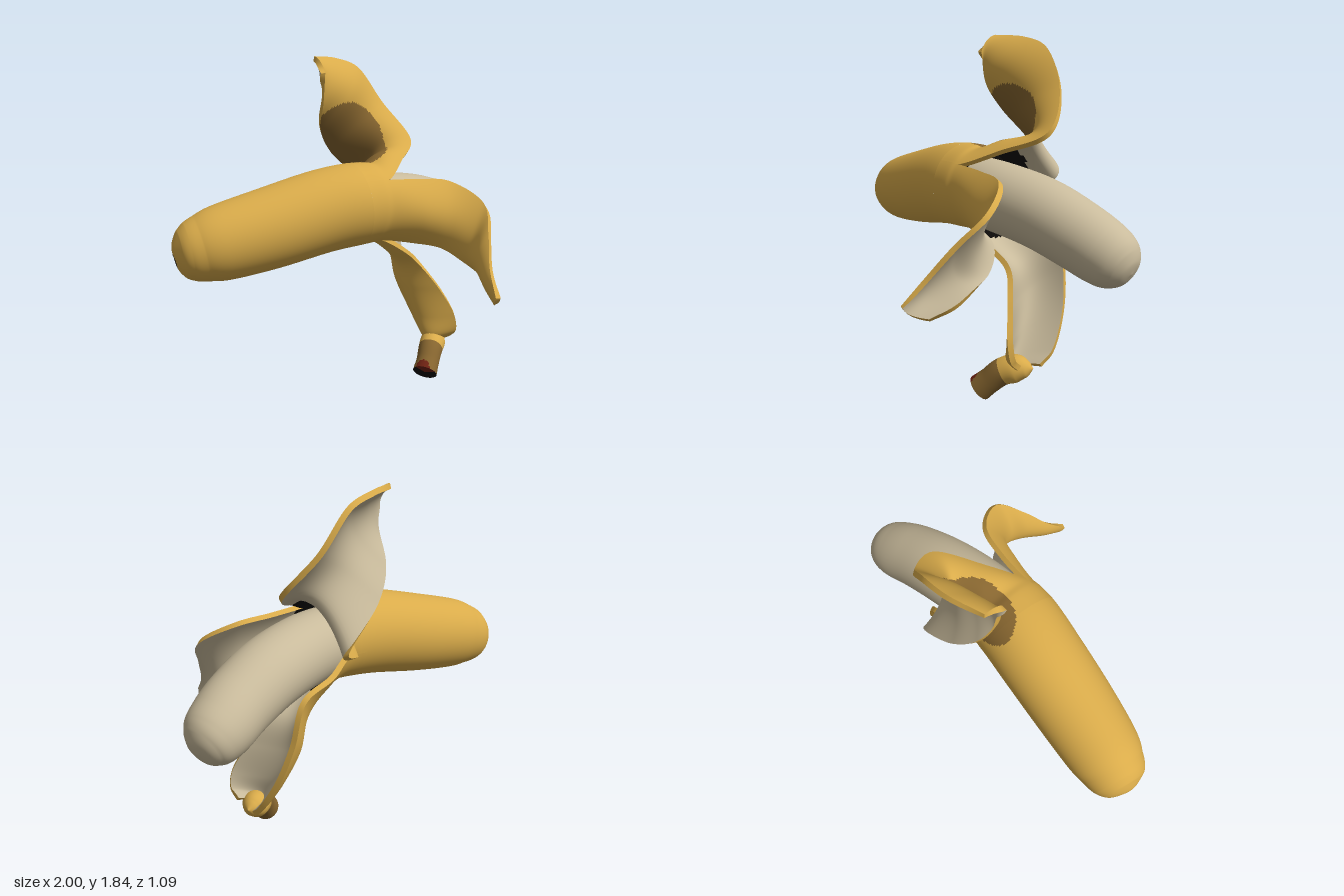
import * as THREE from 'three';

const V = (a) => new THREE.Vector3(a[0], a[1], a[2]);
const paint = (name, color, side = THREE.FrontSide) => {
  const m = new THREE.MeshStandardMaterial({ color, side });
  m.name = name;
  return m;
};

// Skin over rows of points; pick(centre) returns a material index for each cell
function grid(rows, closed = false, pick = () => 0, flip = false) {
  const n = rows[0].length, cols = closed ? n : n - 1;
  const buckets = [[], [], []], centre = new THREE.Vector3();
  for (let i = 0; i < rows.length - 1; i++) {
    for (let j = 0; j < cols; j++) {
      const k = (j + 1) % n;
      const a = i * n + j, b = i * n + k, c = a + n, d = b + n;
      centre.copy(rows[i][j]).add(rows[i][k]).add(rows[i + 1][j]).add(rows[i + 1][k]).multiplyScalar(0.25);
      buckets[pick(centre)].push(...(flip ? [a, c, b, b, c, d] : [a, b, c, b, d, c]));
    }
  }
  const geo = new THREE.BufferGeometry().setFromPoints(rows.flat());
  geo.setIndex(buckets.flat());
  let start = 0;
  buckets.forEach((b, i) => {
    if (b.length) geo.addGroup(start, b.length, i);
    start += b.length;
  });
  geo.computeVertexNormals();
  return geo;
}

// Spine with a changing radius; stations are [x, y, z, radius]
function makeSpine(stations) {
  const path = new THREE.CatmullRomCurve3(stations.map(V), false, 'catmullrom');
  const size = new THREE.CatmullRomCurve3(stations.map((s) => V([s[3], 0, 0])), false, 'catmullrom');
  // Angle 0 is up, 90 degrees is the front
  const point = (t, degrees) => {
    const a = THREE.MathUtils.degToRad(degrees);
    const T = path.getTangent(t), U = new THREE.Vector3(0, 1, 0);
    U.addScaledVector(T, -U.dot(T)).normalize();
    const S = new THREE.Vector3().crossVectors(T, U);
    const r = Math.max(0, size.getPoint(t).x);
    return path.getPoint(t).addScaledVector(U, r * Math.cos(a)).addScaledVector(S, r * Math.sin(a));
  };
  const ring = (t, n) => Array.from({ length: n }, (_, j) => point(t, (j * 360) / n));
  const sweep = (t1, steps, n) => Array.from({ length: steps + 1 }, (_, i) => ring((t1 * i) / steps, n));
  return { path, point, ring, sweep };
}

export function createModel() {
  const group = new THREE.Group();
  const peel = paint('peel yellow', 0xd9ab4a);
  const rimPaint = paint('peel rim yellow', 0xd9ab4a, THREE.DoubleSide);
  const cream = paint('cream', 0xc9bb9c);
  const brown = paint('brown', 0x86652f);
  const black = paint('black', 0x0c0a08, THREE.DoubleSide);
  const red = paint('dark red', 0x6e2212, THREE.DoubleSide);

  const add = (name, geo, mat, parent = group) => {
    const mesh = new THREE.Mesh(geo, mat);
    mesh.name = name;
    parent.add(mesh);
  };

  // Brown bruise shared by the body and the upper strip, dark spot on the blossom end
  const bruise = V([0.07, 1.36, -0.34]), spot = V([-0.98, 0.83, -0.175]);
  const pick = (p) => (p.distanceTo(bruise) < 0.228 ? 1 : p.distanceTo(spot) < 0.052 ? 2 : 0);
  const skin = [peel, brown, black];

  // Unpeeled body
  const stations = [
    [-0.998, 0.862, -0.15, 0], [-0.988, 0.864, -0.149, 0.064], [-0.96, 0.867, -0.147, 0.117],
    [-0.919, 0.872, -0.143, 0.15], [-0.86, 0.882, -0.138, 0.171], [-0.75, 0.905, -0.13, 0.197],
    [-0.5, 0.955, -0.125, 0.215], [-0.2, 1.02, -0.125, 0.225], [0, 1.045, -0.125, 0.228],
    [0.12, 1.045, -0.14, 0.222],
  ];
  const body = makeSpine(stations);
  const tCut = (stations.length - 2) / (stations.length - 1);
  add('peelBody', grid(body.sweep(tCut, 150, 112), true, pick), skin);

  // Dark hollow between peel and fruit
  const hub = body.path.getPoint(1);
  const mouth = body.ring(1, 40).map((p) => p.lerp(hub, 0.1));
  add('peelHollow', grid([mouth, mouth.map(() => hub.clone())], true), black);

  // Fruit
  const flesh = makeSpine([
    [0, 1.03, -0.13, 0.183], [0.25, 1.015, -0.17, 0.185], [0.5, 0.97, -0.245, 0.183],
    [0.7, 0.895, -0.315, 0.174], [0.82, 0.833, -0.367, 0.164], [0.89, 0.794, -0.395, 0.146],
    [0.934, 0.771, -0.409, 0.114], [0.963, 0.757, -0.417, 0.066], [0.973, 0.752, -0.42, 0],
  ]);
  add('fruit', grid(flesh.sweep(1, 64, 40), true), cream);

  // Peeled strip: arc on the body from angle a0 to a1, then rows of [edge, middle, edge];
  // its inside is dark within a distance of the mouth of the body
  function strip(name, a0, a1, dark, rows) {
    const N = 44, steps = 100, thick = 0.028;
    const columns = Array.from({ length: N + 1 }, (_, j) => {
      const u = j / N, angle = a0 + (a1 - a0) * u;
      const pts = [tCut, (tCut + 1) / 2, 1].map((t) => body.point(t, angle));
      for (const [e0, m, e1] of rows) {
        const mid = V(m).multiplyScalar(2).addScaledVector(V(e0).add(V(e1)), -0.5);
        pts.push(new THREE.QuadraticBezierCurve3(V(e0), mid, V(e1)).getPoint(u));
      }
      return new THREE.CatmullRomCurve3(pts);
    });
    const outer = Array.from({ length: steps + 1 }, (_, i) => columns.map((c) => c.getPoint(i / steps)));
    const outerGeo = grid(outer, false, pick);
    const normals = outerGeo.attributes.normal;
    const inner = outer.map((row, i) => row.map((p, j) => {
      const n = new THREE.Vector3().fromBufferAttribute(normals, i * (N + 1) + j);
      return p.clone().addScaledVector(n, -thick);
    }));
    const part = new THREE.Group();
    part.name = name;
    group.add(part);
    add(name + 'Outside', outerGeo, skin, part);
    const shade = (p) => (p.distanceTo(hub) < dark ? 1 : 0);
    add(name + 'Inside', grid(inner, false, shade, true), [cream, black], part);
    // Cut edges begin where the strip leaves the body
    const free = Math.round((steps * 2) / (rows.length + 2));
    for (const j of [0, N]) {
      add(name + 'Rim', grid([outer, inner].map((s) => s.slice(free).map((r) => r[j]))), rimPaint, part);
    }
    add(name + 'Tip', grid([outer[steps], inner[steps]]), rimPaint, part);
  }

  strip('upperStrip', -100, 49, 0.268, [
    [[0.1, 1.03, -0.43], [0.16, 1.28, -0.24], [0.3, 1.27, -0.12]],
    [[0.23, 1.1, -0.53], [0.27, 1.32, -0.34], [0.46, 1.37, -0.3]],
    [[0.02, 1.3, -0.47], [0.16, 1.47, -0.36], [0.35, 1.58, -0.45]],
    [[-0.08, 1.44, -0.38], [0.07, 1.62, -0.32], [0.2, 1.78, -0.47]],
    [[-0.1, 1.58, -0.29], [-0.02, 1.72, -0.3], [0.05, 1.83, -0.44]],
    [[-0.1, 1.75, -0.26], [-0.11, 1.81, -0.3], [-0.12, 1.84, -0.36]],
  ]);
  strip('frontStrip', 49, 155, 0.2, [
    [[0.33, 1.18, 0.01], [0.33, 0.98, 0.09], [0.33, 0.81, -0.03]],
    [[0.52, 1.16, 0.03], [0.49, 0.95, 0.12], [0.47, 0.78, 0.04]],
    [[0.65, 1.05, 0.18], [0.56, 0.85, 0.2], [0.56, 0.71, 0.13]],
    [[0.59, 0.9, 0.32], [0.53, 0.76, 0.29], [0.6, 0.66, 0.22]],
    [[0.525, 0.75, 0.43], [0.51, 0.65, 0.4], [0.61, 0.6, 0.32]],
    [[0.49, 0.62, 0.54], [0.51, 0.57, 0.5], [0.57, 0.55, 0.43]],
  ]);
  strip('lowerStrip', 155, 260, 0.27, [
    [[0.3, 0.75, -0.07], [0.22, 0.77, -0.22], [0.22, 0.93, -0.4]],
    [[0.4, 0.67, -0.1], [0.32, 0.68, -0.27], [0.4, 0.86, -0.43]],
    [[0.51, 0.52, -0.04], [0.36, 0.52, -0.25], [0.47, 0.64, -0.43]],
    [[0.59, 0.36, 0.01], [0.42, 0.34, -0.17], [0.53, 0.43, -0.38]],
    [[0.61, 0.26, 0], [0.45, 0.23, -0.11], [0.58, 0.25, -0.28]],
    [[0.6, 0.21, -0.05], [0.47, 0.18, -0.1], [0.58, 0.19, -0.21]],
  ]);

  // Yellow collar closing the lower strip, running on into the brown stem
  const stem = makeSpine([
    [0.59, 0.195, -0.15, 0], [0.56, 0.19, -0.13, 0.045], [0.515, 0.182, -0.095, 0.072],
    [0.465, 0.155, -0.045, 0.07], [0.42, 0.1, 0, 0.066], [0.38, 0.052, 0.035, 0.07],
  ]);
  const rows = stem.sweep(1, 50, 40), stain = V([0.345, 0.105, 0.06]);
  add('stemCollar', grid(rows.slice(0, 30), true), peel);
  add('stem', grid(rows.slice(29), true, (p) => (p.distanceTo(stain) < 0.042 ? 1 : 0)), [brown, red]);
  // Stem end: dark cut with a red upper part
  const endHub = stem.path.getPoint(1);
  const cap = (from, to) => {
    const arc = Array.from({ length: 17 }, (_, i) => stem.point(1, from + ((to - from) * i) / 16));
    return grid([arc, arc.map(() => endHub.clone())]);
  };
  add('stemEndDark', cap(40, 290), black);
  add('stemEndRed', cap(-70, 40), red);

  return group;
}
